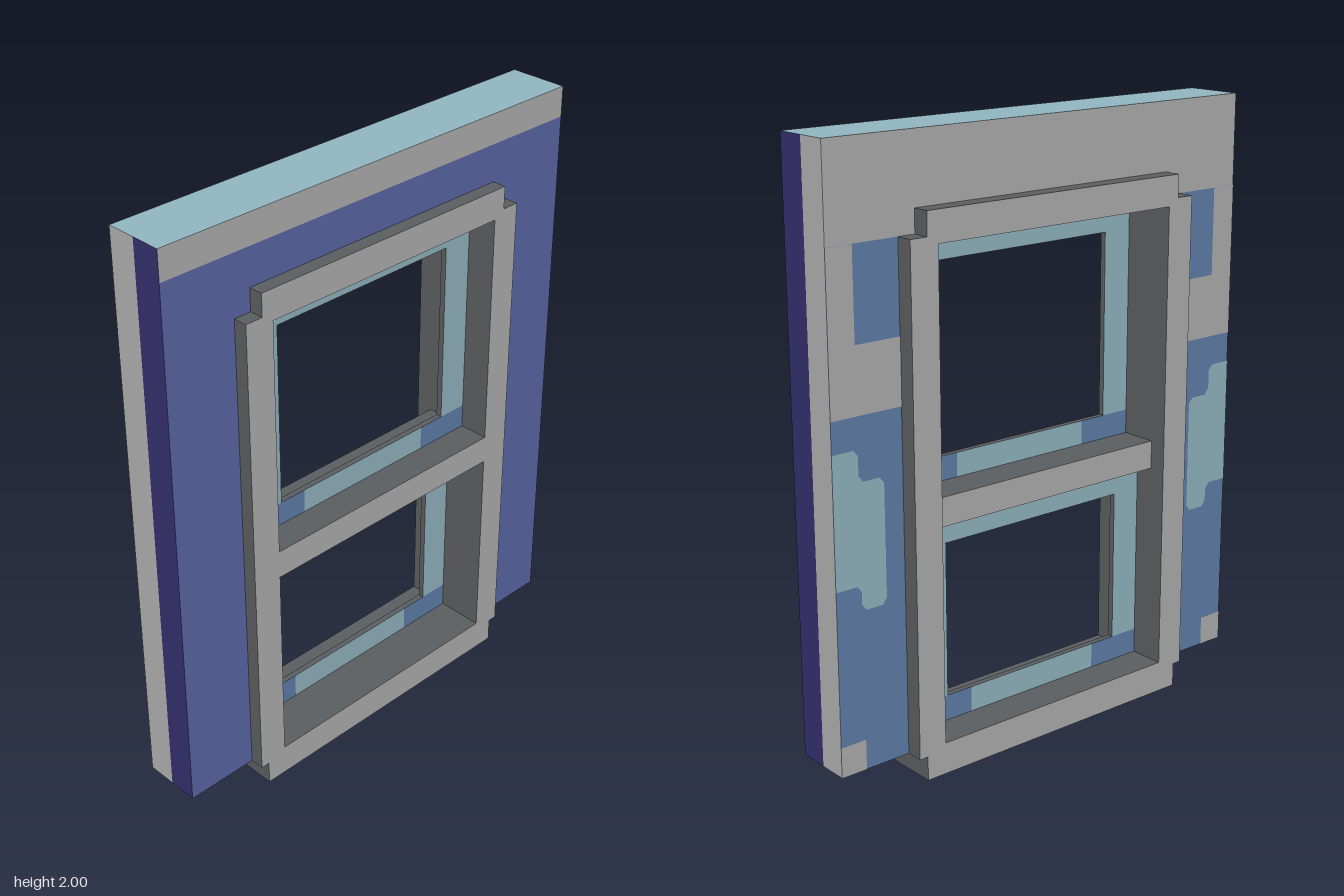
import * as THREE from 'three';

const mat = (name, color) => Object.assign(new THREE.MeshStandardMaterial({ color }), { name });

export function createModel() {
  const gray = mat('pale gray', 0xb0b0b0);
  const dark = mat('dark gray', 0x5b5e60);
  const blue = mat('wall blue', 0x5a68a8);
  const navy = mat('navy', 0x34306e);
  const sky = mat('light blue', 0x92b6c2);
  const mid = mat('medium blue', 0x6080ac);

  const model = new THREE.Group();
  model.name = 'windowWall';

  // Box given by its limits; materials run +x, -x, +y, -y, +z, -z
  function box(parent, name, [x0, x1], [y0, y1], [z0, z1], materials) {
    const mesh = new THREE.Mesh(new THREE.BoxGeometry(x1 - x0, y1 - y0, z1 - z0), materials);
    mesh.position.set((x0 + x1) / 2, (y0 + y1) / 2, (z0 + z1) / 2);
    mesh.name = name;
    parent.add(mesh);
  }
  const rect = (x0, x1, y0, y1) => [[x0, y0], [x1, y0], [x1, y1], [x0, y1]];
  const toShape = (points) => new THREE.Shape(points.map(([x, y]) => new THREE.Vector2(x, y)));

  // Wall: navy-edged front layer and gray-edged back layer
  const W = 0.81, zBack = -0.095, zMid = 0.005, zFront = 0.105;
  const wall = new THREE.Group();
  wall.name = 'wall';
  model.add(wall);
  const layers = [
    { name: 'front', z: [zMid, zFront], edge: navy, face: blue },
    { name: 'back', z: [zBack, zMid], edge: gray, face: gray },
  ];
  for (const { name, z, edge, face } of layers) {
    const skin = (f, back) => [edge, edge, sky, dark, f, back];
    box(wall, `${name}TopBand`, [-W, W], [1.9, 2], z, skin(gray, gray));
    box(wall, `${name}Lintel`, [-W, W], [1.7, 1.9], z, skin(face, gray));
    for (const s of [-1, 1]) {
      const x = s > 0 ? [0.5, W] : [-W, -0.5];
      box(wall, `${name}Column`, x, [0.08, 1.7], z, skin(face, mid));
    }
  }

  // Painted patches on the back of both wall columns
  const patches = [
    ['grayBand', gray, rect(0.5, W, 1.2, 1.41)],
    ['grayUpperEdge', gray, rect(0.72, W, 1.41, 1.7)],
    ['grayLowerCorner', gray, rect(0.72, W, 0.08, 0.18)],
    ['lightPatch', sky, [[W, 0.68], [0.735, 0.68], [0.72, 0.66], [0.72, 0.62], [0.705, 0.6],
      [0.645, 0.6], [0.63, 0.62], [0.63, 0.98], [0.645, 1.0], [0.705, 1.0], [0.72, 1.02],
      [0.72, 1.08], [0.735, 1.1], [W, 1.1]]],
  ];
  for (const s of [-1, 1]) {
    for (const [name, material, points] of patches) {
      // Turned to face -z, so x is negated
      const geometry = new THREE.ShapeGeometry(toShape(points.map(([x, y]) => [x * s, y])));
      const mesh = new THREE.Mesh(geometry, material);
      mesh.rotation.y = Math.PI;
      mesh.position.z = zBack - 0.002;
      mesh.name = name;
      wall.add(mesh);
    }
  }

  // Window casing: stepped outline with one tall opening
  const depth = 0.153;
  const half = [[0.53, 0], [0.53, 0.08], [0.56, 0.08], [0.56, 1.7], [0.5, 1.7], [0.5, 1.775]];
  const outline = toShape([...half, ...half.map(([x, y]) => [-x, y]).reverse()]);
  outline.holes.push(toShape(rect(-0.46, 0.46, 0.105, 1.675)));
  const casing = new THREE.Mesh(
    new THREE.ExtrudeGeometry(outline, { depth: depth * 2, bevelEnabled: false }), [gray, dark]);
  casing.position.z = -depth;
  casing.name = 'casing';
  model.add(casing);

  // Middle bar, set back from the rear of the casing
  box(model, 'middleBar', [-0.46, 0.46], [0.79, 0.885], [-0.095, depth],
    [dark, dark, dark, dark, gray, gray]);

  // Sashes: light blue rings with darker lower corners
  function sash(name, [y0, y1], [in0, in1], z) {
    const group = new THREE.Group();
    group.name = name;
    const skin = (f) => [dark, dark, dark, dark, f, f];
    box(group, 'topRail', [-0.355, 0.355], [in1, y1], z, skin(sky));
    box(group, 'bottomRail', [-0.26, 0.26], [y0, in0], z, skin(sky));
    for (const s of [-1, 1]) {
      const span = (a, b) => (s > 0 ? [a, b] : [-b, -a]);
      box(group, 'stile', span(0.355, 0.46), [in0, y1], z, skin(sky));
      box(group, 'lowerCorner', span(0.26, 0.46), [y0, in0], z, skin(mid));
    }
    model.add(group);
  }
  sash('upperSash', [0.885, 1.675], [0.965, 1.58], [0.03, 0.05]);
  sash('lowerSash', [0.105, 0.79], [0.19, 0.705], [-0.03, -0.01]);

  return model;
}
